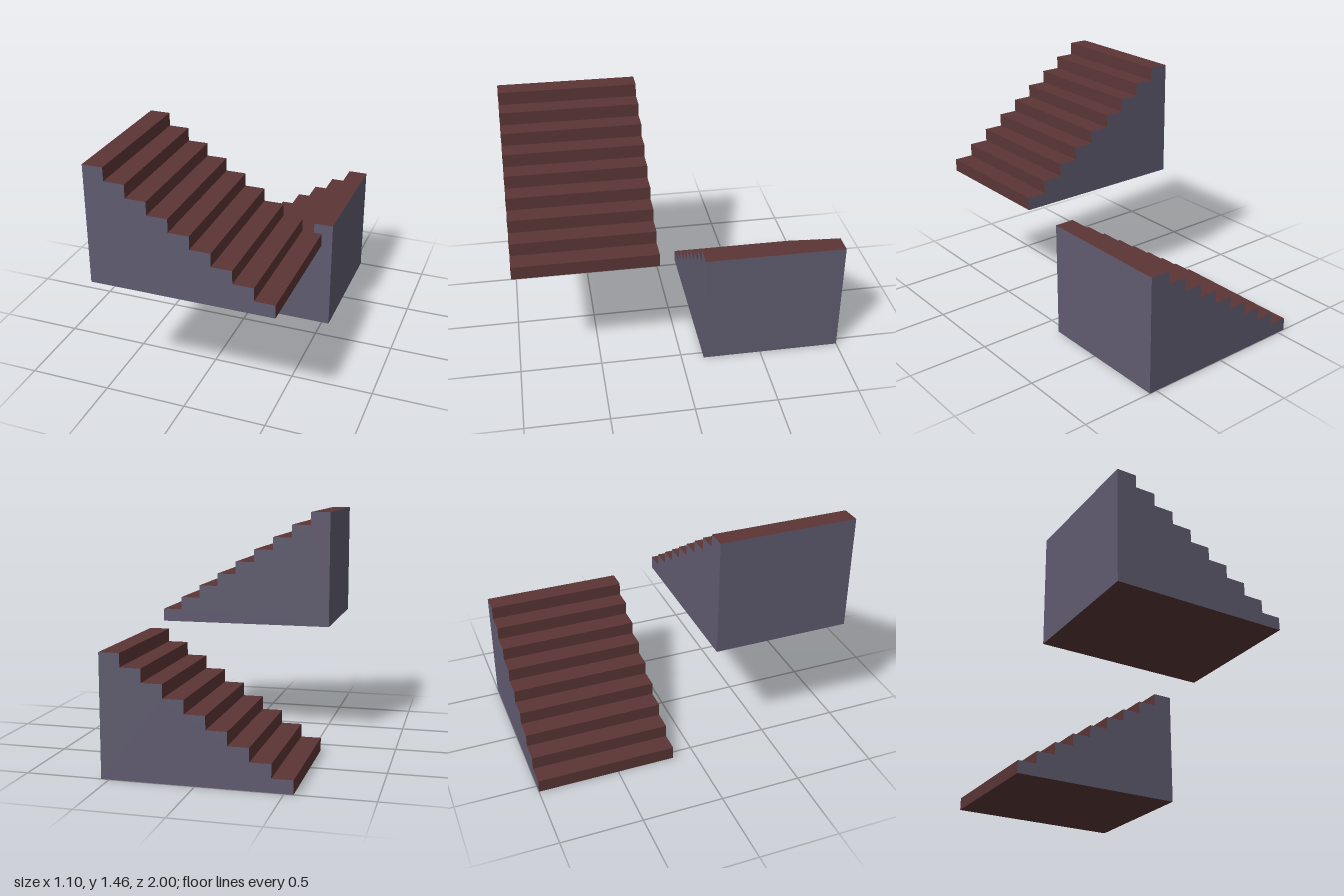
import * as THREE from 'three';

const STEPS = 9, LENGTH = 1.1, HEIGHT = 0.725, WIDTH = 0.862;

const wall = new THREE.MeshStandardMaterial({ color: 0x605c70 });
wall.name = 'slate wall';
const tread = new THREE.MeshStandardMaterial({ color: 0x5b3535 });
tread.name = 'brown tread';

// Solid flight of stairs rising towards +x, centred on x and z, standing on y = 0
function flightGeometry() {
  const run = LENGTH / STEPS, rise = HEIGHT / STEPS;
  const profile = new THREE.Shape();
  profile.moveTo(-LENGTH / 2, 0);
  profile.lineTo(LENGTH / 2, 0);
  for (let i = STEPS; i > 0; i--) {
    const x = -LENGTH / 2 + i * run;
    profile.lineTo(x, i * rise);
    profile.lineTo(x - run, i * rise);
  }
  const geometry = new THREE.ExtrudeGeometry(profile, { depth: WIDTH, bevelEnabled: false });
  geometry.translate(0, 0, -WIDTH / 2);

  // Flanks and tall end are wall; treads, risers and underside are brown
  const normal = geometry.attributes.normal;
  geometry.clearGroups();
  for (let v = 0; v < normal.count; v += 3) {
    const isWall = Math.abs(normal.getZ(v)) > 0.5 || normal.getX(v) > 0.5;
    geometry.addGroup(v, 3, isWall ? 0 : 1);
  }
  return geometry;
}

export function createModel() {
  const model = new THREE.Group();
  model.name = 'staircase';
  const geometry = flightGeometry();

  // Lower flight at the back rises to +x
  const lower = new THREE.Mesh(geometry, [wall, tread]);
  lower.name = 'lowerFlight';
  lower.position.set(-0.002, 0, -1 + WIDTH / 2);

  // Upper flight at the front turns round and rises to -x
  const upper = new THREE.Mesh(geometry, [wall, tread]);
  upper.name = 'upperFlight';
  upper.rotation.y = Math.PI;
  upper.position.set(0.002, 0.73, 1 - WIDTH / 2);

  model.add(lower, upper);
  return model;
}
